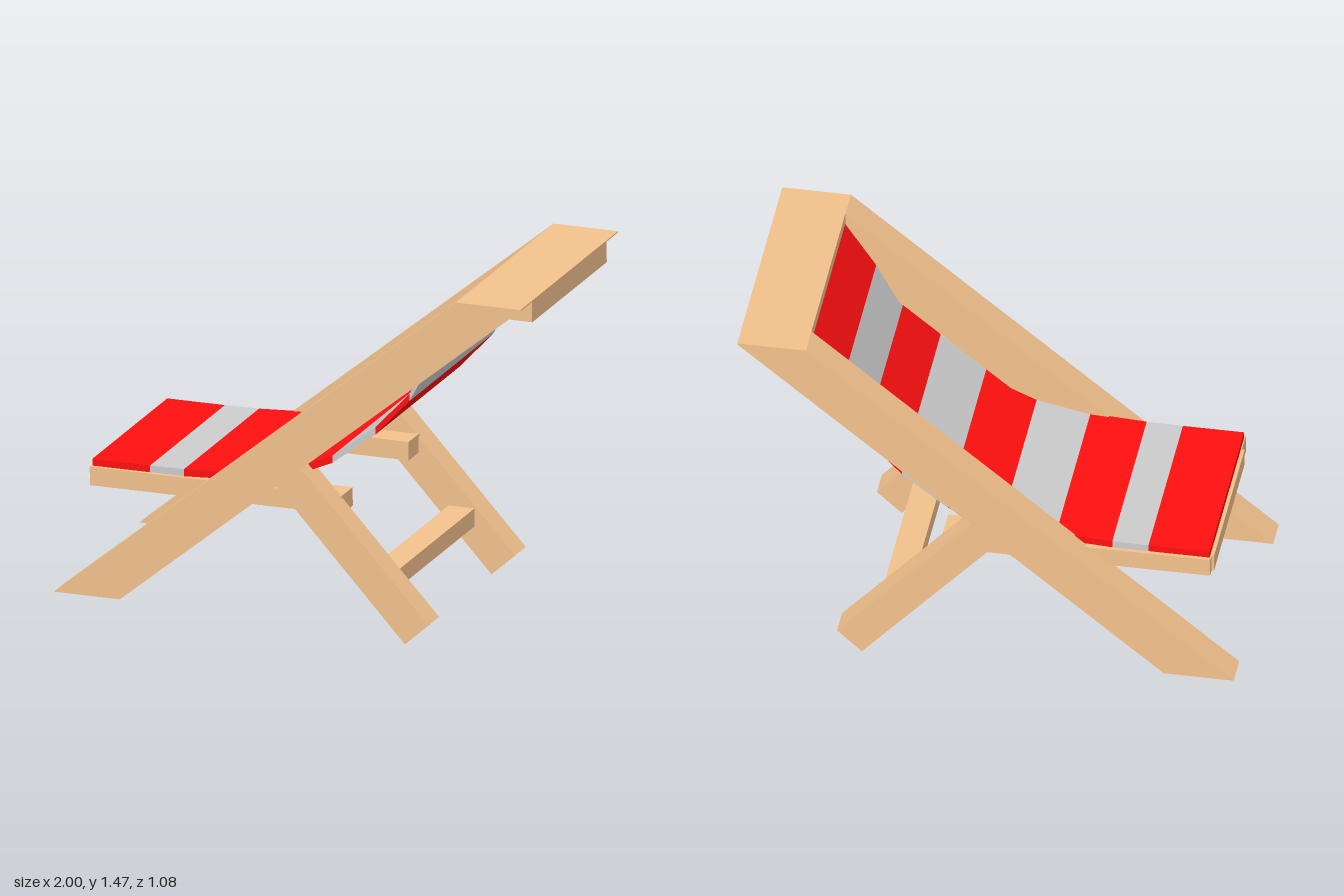
import * as THREE from 'three';

const wood = new THREE.MeshStandardMaterial({ color: 0xf2c18c, flatShading: true });
const red = new THREE.MeshStandardMaterial({ color: 0xff1010, flatShading: true });
const grey = new THREE.MeshStandardMaterial({ color: 0xcccccc, flatShading: true });

export function createModel() {
  const chair = new THREE.Group();
  chair.name = 'deckChair';

  // Side outline in x/y, extruded from z0 to z1
  function slab(name, points, z0, z1, material = wood) {
    const shape = new THREE.Shape(points.map(([x, y]) => new THREE.Vector2(x, y)));
    const geometry = new THREE.ExtrudeGeometry(shape, { depth: z1 - z0, bevelEnabled: false });
    geometry.translate(0, 0, z0);
    const mesh = new THREE.Mesh(geometry, material);
    mesh.name = name;
    chair.add(mesh);
  }

  // Axis-aligned beam between two corners
  function beam(name, x0, x1, y0, y1, z0, z1) {
    slab(name, [[x0, y0], [x1, y0], [x1, y1], [x0, y1]], z0, z1);
  }

  // Long rails, rear legs and seat side bars, mirrored in z
  const rail = [[-1, 0.05], [-0.72, 0.05], [0.995, 1.445], [0.995, 1.45], [0.72, 1.45]];
  const leg = [[0.49, 0], [0.59, 0.09], [0.02, 0.72], [-0.08, 0.63]];
  for (const side of [1, -1]) {
    const pair = (a, b) => (side > 0 ? [a, b] : [-b, -a]);
    const label = side > 0 ? 'front' : 'back';
    slab(label + 'Rail', rail, ...pair(0.395, 0.525));
    slab(label + 'Leg', leg, ...pair(0.407, 0.523));
    beam(label + 'SeatBar', -0.885, 0.185, 0.473, 0.55, ...pair(0.3, 0.418));
  }

  // Cross pieces
  beam('headBoard', 0.72, 0.995, 1.36, 1.45, -0.4, 0.4);
  beam('legCrossbar', 0.31, 0.42, 0.193, 0.267, -0.41, 0.41);
  beam('seatFrontBar', -0.895, -0.79, 0.475, 0.548, -0.385, 0.33);

  // Striped canvas: underside points where one stripe meets the next
  const sag = [
    [-0.88, 0.548], [-0.635, 0.548], [-0.49, 0.55], [-0.265, 0.562], [-0.05, 0.605],
    [0.16, 0.695], [0.345, 0.835], [0.49, 0.99], [0.595, 1.185], [0.72, 1.37],
  ];
  for (let i = 0; i < sag.length - 1; i++) {
    const [a, b] = [sag[i], sag[i + 1]];
    const half = i < 3 ? 0.402 : 0.45;
    const top = ([x, y]) => [x, y + 0.03];
    slab('canvasStripe' + (i + 1), [a, b, top(b), top(a)], -half, half, i % 2 ? grey : red);
  }

  // The whole chair leans very slightly to one side
  chair.rotation.x = 0.024;
  chair.position.set(0, 0.0125, -0.02);
  const model = new THREE.Group();
  model.add(chair);
  return model;
}
